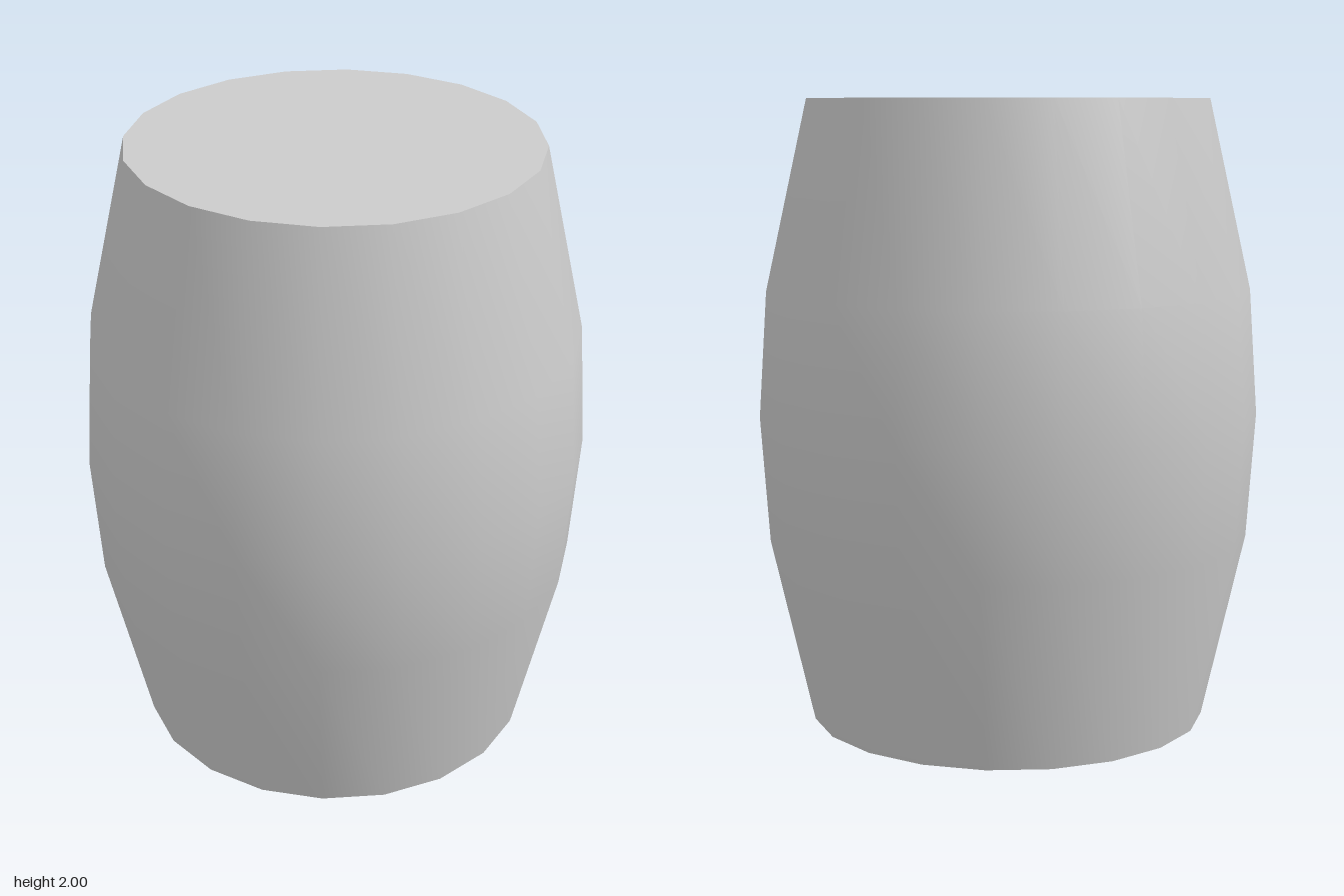
import * as THREE from 'three';

const SIDES = 20;
const END_RADIUS = 0.64;
const HEIGHT = 2;

export function createModel() {
  const group = new THREE.Group();
  group.name = 'barrel';
  const material = new THREE.MeshStandardMaterial({ color: 0xcccccc });

  // Bulging smooth wall, profile from bottom to top
  const profile = [
    [END_RADIUS, 0], [0.775, 0.6], [0.802, 1], [0.775, 1.4], [END_RADIUS, HEIGHT],
  ].map(([r, y]) => new THREE.Vector2(r, y));
  const wall = new THREE.Mesh(new THREE.LatheGeometry(profile, SIDES), material);
  wall.name = 'barrelWall';
  group.add(wall);

  // Flat lids, one facing up and one facing down
  for (const [name, y, dir] of [['topLid', HEIGHT, -1], ['bottomLid', 0, 1]]) {
    const lid = new THREE.Mesh(new THREE.CircleGeometry(END_RADIUS, SIDES), material);
    lid.name = name;
    lid.rotation.x = dir * Math.PI / 2;
    lid.position.y = y;
    group.add(lid);
  }
  return group;
}
